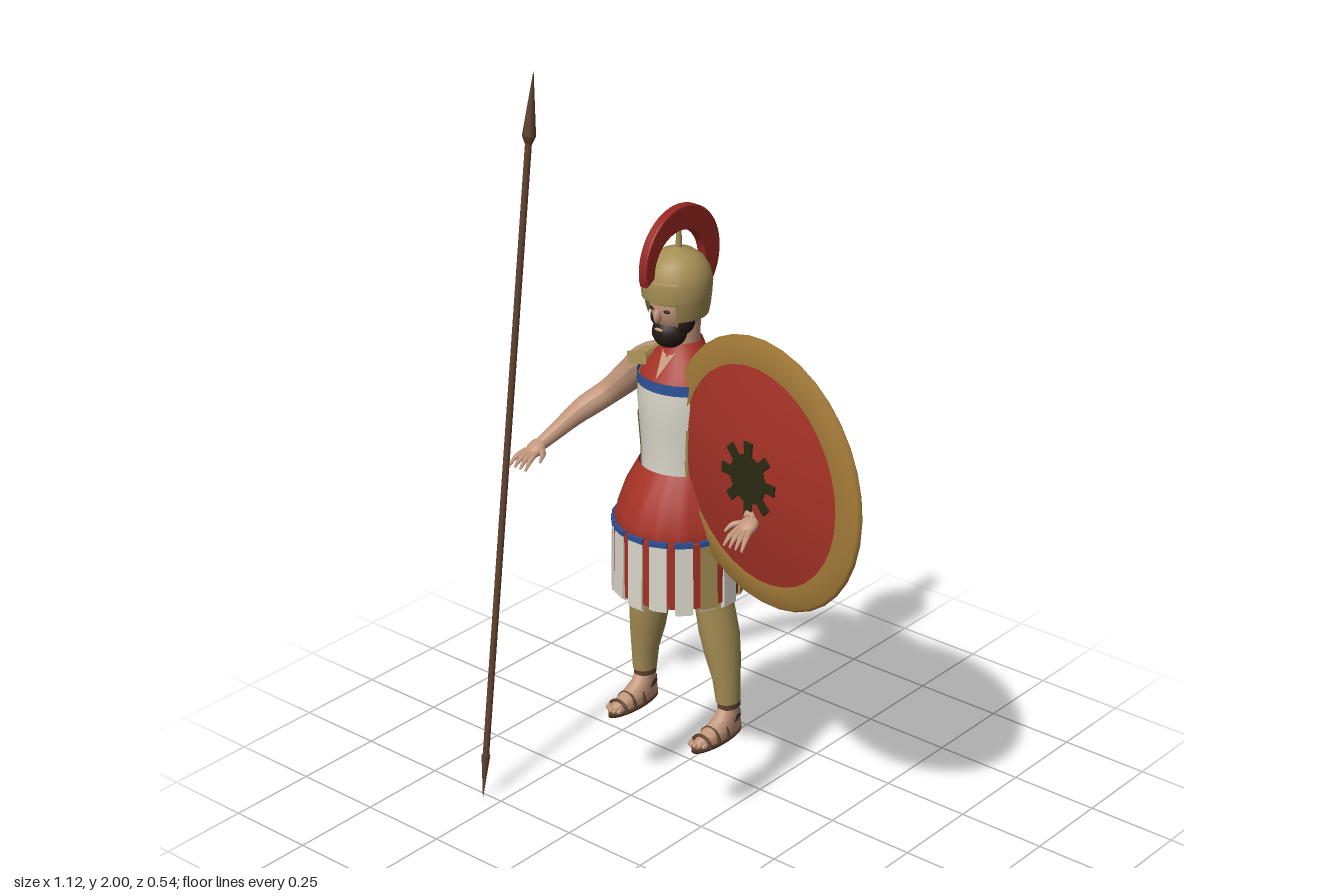
import * as THREE from 'three';

const D = Math.PI / 180;
const mat = (name, color) => {
  const m = new THREE.MeshStandardMaterial({ color, side: THREE.DoubleSide });
  m.name = name;
  return m;
};

export function createModel() {
  const red = mat('red cloth', 0xa63226), crestRed = mat('crest red', 0x96261f);
  const gold = mat('dull gold', 0xa68f55), bronze = mat('rim bronze', 0xa37a38);
  const white = mat('off white', 0xd8d4c8), blue = mat('blue trim', 0x2b5096);
  const skin = mat('skin', 0xc0957a), dark = mat('dark hair', 0x231a14);
  const brown = mat('brown', 0x5e402c), olive = mat('emblem olive', 0x2b2a12);

  const model = new THREE.Group();
  model.name = 'warrior';
  const body = new THREE.Group();
  body.name = 'body';
  body.position.set(-0.155, 0, -0.092);
  model.add(body);

  const add = (name, geo, material, parent = body, p = [0, 0, 0], r = [0, 0, 0]) => {
    const m = new THREE.Mesh(geo, material);
    m.name = name;
    m.position.set(...p);
    m.rotation.set(...r);
    parent.add(m);
    return m;
  };
  const ball = (name, material, p, s, parent = body) => {
    const m = add(name, new THREE.SphereGeometry(1, 16, 12), material, parent, p);
    m.scale.set(...s);
    return m;
  };

  // Skin over rising elliptical rings [y, cx, cz, rx, rz]; angle 0 faces front
  const stack = (rings, { grow = 0, from = 0, to = 360, sides = 28 } = {}) => {
    const full = to - from >= 360, n = full ? sides : sides + 1;
    const pos = [], idx = [];
    for (const [y, cx, cz, rx, rz] of rings)
      for (let j = 0; j < n; j++) {
        const a = (from + (to - from) * j / sides) * D;
        pos.push(cx + (rx + grow) * Math.sin(a), y, cz + (rz + grow) * Math.cos(a));
      }
    for (let i = 0; i < rings.length - 1; i++)
      for (let j = 0; j < sides; j++) {
        const k = (j + 1) % n, a = i * n + j, b = i * n + k;
        idx.push(a, b, b + n, a, b + n, a + n);
      }
    const g = new THREE.BufferGeometry();
    g.setAttribute('position', new THREE.Float32BufferAttribute(pos, 3));
    g.setIndex(idx);
    g.computeVertexNormals();
    return g;
  };

  // Tube along points whose radius follows a list
  const limb = (pts, radii, sides = 14) => {
    const curve = new THREE.CatmullRomCurve3(pts.map(p => new THREE.Vector3(...p)));
    const seg = 24, g = new THREE.TubeGeometry(curve, seg, 1, sides, false);
    const pos = g.attributes.position, v = new THREE.Vector3();
    for (let i = 0; i < pos.count; i++) {
      const t = Math.floor(i / (sides + 1)) / seg, f = t * (radii.length - 1);
      const k = Math.min(Math.floor(f), radii.length - 2);
      const c = curve.getPointAt(t);
      v.fromBufferAttribute(pos, i).sub(c).multiplyScalar(THREE.MathUtils.lerp(radii[k], radii[k + 1], f - k)).add(c);
      pos.setXYZ(i, v.x, v.y, v.z);
    }
    g.computeVertexNormals();
    return g;
  };

  // Cuirass, trim and tunic yoke
  const chest = [[0.99, 0, -0.012, 0.106, 0.1], [1.04, 0, -0.012, 0.106, 0.098], [1.12, 0, -0.01, 0.112, 0.1],
    [1.19, 0, -0.01, 0.117, 0.104], [1.25, 0, -0.012, 0.114, 0.1]];
  add('cuirass', stack(chest), white);
  add('chestTrim', stack([[1.228, 0, -0.012, 0.115, 0.102], [1.256, 0, -0.012, 0.114, 0.1]], { grow: 0.004 }), blue);
  for (const s of [1, -1])
    add('sidePanel', stack([...chest.slice(0, 3), [1.135, 0, -0.01, 0.113, 0.101]],
      { grow: 0.003, from: s * 92 - 48, to: s * 92 + 48, sides: 12 }), gold);
  add('tunicYoke', stack([[1.245, 0, -0.012, 0.113, 0.1], [1.285, 0, -0.016, 0.092, 0.082],
    [1.315, 0, -0.02, 0.062, 0.062], [1.345, 0, -0.022, 0.048, 0.05]]), red);
  const vee = new THREE.Shape([[-0.022, 0.085], [0, 0], [0.022, 0.085]].map(p => new THREE.Vector2(...p)));
  add('neckOpening', new THREE.ShapeGeometry(vee), skin, body, [0, 1.262, 0.088], [-0.72, 0, 0]);
  add('neck', stack([[1.29, 0, -0.02, 0.046, 0.048], [1.35, 0, -0.02, 0.042, 0.046], [1.45, 0, -0.02, 0.048, 0.052]]), skin);

  // Tunic skirt with soft pleats, and the hanging strips
  const skirt = stack([[0.68, 0, 0, 0.152, 0.152], [0.84, 0, 0, 0.162, 0.164], [0.87, 0, 0, 0.163, 0.165],
    [0.94, 0, -0.004, 0.142, 0.142], [1.005, 0, -0.012, 0.113, 0.107]], { sides: 64 });
  const sp = skirt.attributes.position;
  for (let i = 0; i < sp.count; i++) {
    const a = Math.atan2(sp.getX(i), sp.getZ(i)), k = 1 + 0.02 * Math.cos(16 * a) * Math.min(1, (1.005 - sp.getY(i)) * 8);
    sp.setXYZ(i, sp.getX(i) * k, sp.getY(i), sp.getZ(i) * k);
  }
  skirt.computeVertexNormals();
  add('tunicSkirt', skirt, red);
  const strips = 16;
  for (let i = 0; i < strips; i++) {
    const holder = new THREE.Group();
    holder.name = 'skirtStrip';
    holder.rotation.y = i / strips * Math.PI * 2;
    body.add(holder);
    const side = [3, 5, 11, 13].includes(i);
    const low = i % 2 ? 0.008 : 0;
    add('strip', new THREE.BoxGeometry(0.047, 0.2 - low, 0.009), side ? gold : white, holder, [0, 0.745 + low / 2, 0.17], [-0.02, 0, 0]);
    add('stripTrim', new THREE.BoxGeometry(0.049, 0.014, 0.011), blue, holder, [0, 0.842, 0.1695]);
    add('stripFringe', new THREE.BoxGeometry(0.04, 0.02, 0.006), white, holder, [0, 0.647 + low, 0.164]);
    const gap = new THREE.Group();
    gap.name = 'gapStrip';
    gap.rotation.y = (i + 0.5) / strips * Math.PI * 2;
    body.add(gap);
    add('redStrip', new THREE.BoxGeometry(0.034, 0.185, 0.008), red, gap, [0, 0.75, 0.167]);
  }

  // Legs, greaves and sandals
  for (const s of [1, -1]) {
    const leg = new THREE.Group();
    leg.name = s > 0 ? 'leftLeg' : 'rightLeg';
    body.add(leg);
    const mir = rings => rings.map(([y, x, ...r]) => [y, x * s, ...r]);
    const shin = [[0.335, 0.146, -0.03, 0.026, 0.031], [0.4, 0.142, -0.028, 0.031, 0.036], [0.47, 0.131, -0.026, 0.042, 0.046],
      [0.54, 0.121, -0.023, 0.048, 0.053], [0.6, 0.113, -0.018, 0.047, 0.052], [0.655, 0.105, -0.012, 0.048, 0.052]];
    add('leg', stack(mir([[0.28, 0.147, -0.034, 0.025, 0.031], ...shin, [0.74, 0.085, -0.008, 0.062, 0.07], [0.86, 0.07, -0.005, 0.068, 0.08]])), skin, leg);
    add('greave', stack(mir(shin), { grow: 0.005, from: -118, to: 118 }), gold, leg);
    const foot = [[0.245, 0.147, 0.018, 0.029, 0.094], [0.262, 0.147, 0.014, 0.03, 0.09], [0.28, 0.147, -0.006, 0.027, 0.064],
      [0.298, 0.147, -0.024, 0.025, 0.042], [0.325, 0.147, -0.032, 0.024, 0.03]];
    add('foot', stack(mir([...foot.slice(0, 2), [0.27, 0.147, 0.006, 0.029, 0.08], ...foot.slice(2)])), skin, leg);
    add('sole', stack(mir([[0.235, 0.147, 0.019, 0.001, 0.001], [0.2355, 0.147, 0.019, 0.031, 0.097],
      [0.248, 0.147, 0.019, 0.031, 0.097], [0.2485, 0.147, 0.019, 0.001, 0.001]])), brown, leg);
    add('ankleStrap', stack(mir([[0.318, 0.147, -0.032, 0.026, 0.032], [0.334, 0.147, -0.031, 0.027, 0.032]]), { grow: 0.002 }), brown, leg);
    add('heelStrap', stack(mir(foot.slice(2, 4)), { grow: 0.003, from: 100, to: 260 }), brown, leg);
    for (const [z, h] of [[0.008, 0.292], [0.045, 0.282], [0.08, 0.272]]) {
      const arch = new THREE.EllipseCurve(0, 0.245, 0.031, h - 0.245, 0, Math.PI).getPoints(10);
      const path = new THREE.CatmullRomCurve3(arch.map(p => new THREE.Vector3(s * 0.147 + p.x, p.y, z)));
      add('footStrap', new THREE.TubeGeometry(path, 12, 0.005, 6), brown, leg);
    }
    for (let i = 0; i < 5; i++)
      ball('toe', skin, [s * (0.125 + i * 0.011), 0.255, 0.108 - Math.abs(i - 1.5) * 0.006], [0.0065, 0.008, 0.012], leg);
  }

  // Arms with spread fingers, and shoulder guards
  for (const s of [1, -1]) {
    const arm = new THREE.Group();
    arm.name = s > 0 ? 'leftArm' : 'rightArm';
    body.add(arm);
    const mir = pts => pts.map(([x, y, z]) => [x * s, y, z]);
    add('armSkin', limb(mir([[0.075, 1.262, -0.03], [0.13, 1.24, -0.038], [0.19, 1.185, -0.038], [0.25, 1.125, -0.02],
      [0.3, 1.075, 0.04], [0.335, 1.025, 0.1], [0.352, 0.998, 0.138]]), [0.046, 0.047, 0.041, 0.034, 0.032, 0.024, 0.018]), skin, arm);
    ball('shoulder', skin, [s * 0.1, 1.253, -0.034], [0.045, 0.045, 0.047], arm);
    const palm = ball('palm', skin, [s * 0.358, 0.988, 0.155], [0.026, 0.017, 0.032], arm);
    palm.rotation.x = 0.5;
    for (let i = 0; i < 4; i++)
      add('finger', limb(mir([[0.343 + i * 0.011, 0.984, 0.172], [0.338 + i * 0.016, 0.972, 0.2], [0.335 + i * 0.019, 0.952, 0.222]]),
        [0.008, 0.007, 0.003], 8), skin, arm);
    add('thumb', limb(mir([[0.342, 0.99, 0.15], [0.32, 0.985, 0.17], [0.312, 0.972, 0.19]]), [0.009, 0.008, 0.003], 8), skin, arm);
    add('shoulderGuard', new THREE.BoxGeometry(0.066, 0.012, 0.085), gold, arm, [s * 0.098, 1.291, -0.005], [0.1, 0, -s * 0.38]);
    add('guardFlap', new THREE.BoxGeometry(0.062, 0.032, 0.01), gold, arm, [s * 0.099, 1.28, 0.042], [-0.2, 0, -s * 0.2]);
  }

  // Head, face and beard
  ball('head', skin, [0, 1.45, 0.002], [0.064, 0.085, 0.076]);
  ball('beard', dark, [0, 1.378, 0.032], [0.046, 0.043, 0.045]);
  ball('mouth', skin, [0, 1.394, 0.074], [0.014, 0.004, 0.005]);
  ball('nose', skin, [0, 1.432, 0.078], [0.009, 0.02, 0.014]);
  for (const s of [1, -1]) {
    ball('eye', dark, [s * 0.023, 1.447, 0.07], [0.01, 0.005, 0.006]);
    ball('sideBeard', dark, [s * 0.046, 1.41, 0.02], [0.016, 0.03, 0.028]);
  }

  // Helmet: open-faced lower shell, dome, brow plate
  add('helmetShell', stack([[1.42, 0, -0.004, 0.074, 0.08], [1.445, 0, -0.002, 0.08, 0.086], [1.475, 0, 0, 0.085, 0.09]],
    { from: 38, to: 322 }), gold);
  add('helmetDome', stack([[1.475, 0, 0, 0.085, 0.09], [1.51, 0, 0, 0.088, 0.092], [1.54, 0, 0, 0.082, 0.086],
    [1.566, 0, 0, 0.066, 0.07], [1.585, 0, 0, 0.042, 0.045], [1.597, 0, 0, 0.001, 0.001]]), gold);
  add('browPlate', stack([[1.468, 0, 0, 0.084, 0.089], [1.472, 0, 0, 0.09, 0.095], [1.522, 0, 0, 0.091, 0.096], [1.527, 0, 0, 0.085, 0.089]],
    { from: -42, to: 42, sides: 12 }), gold);

  // Crest: a crescent standing over the dome
  const crest = new THREE.Shape();
  crest.absarc(-0.008, 1.56, 0.14, -12 * D, 218 * D, false);
  crest.absarc(0.005, 1.545, 0.1, 205 * D, 0, true);
  add('crest', new THREE.ExtrudeGeometry(crest, { depth: 0.018, curveSegments: 28, bevelSize: 0.004, bevelThickness: 0.004, bevelSegments: 2 }),
    crestRed, body, [0.009, 0, 0], [0, -Math.PI / 2, 0]);
  add('crestStem', new THREE.CylinderGeometry(0.006, 0.009, 0.07, 8), gold, body, [0, 1.62, -0.005]);

  // Shield: domed face, bronze rim, emblem through both faces
  const shield = new THREE.Group();
  shield.name = 'shield';
  shield.position.set(0.2, 1.105, -0.005);
  shield.rotation.y = -0.18;
  model.add(shield);
  const dome = r => 0.05 * (1 - (r / 0.36) ** 2);
  const face = [0, 0.06, 0.12, 0.18, 0.24, 0.295].map(r => new THREE.Vector2(r, dome(r)));
  add('shieldFace', new THREE.LatheGeometry(face.reverse(), 36), red, shield, [0, 0, 0], [Math.PI / 2, 0, 0]);
  const rim = [[0.29, 0.008], [0.352, -0.008], [0.36, 0], [0.352, 0.01], [0.29, 0.024], [0.29, 0.008]].map(p => new THREE.Vector2(...p));
  add('shieldRim', new THREE.LatheGeometry(rim, 36), bronze, shield, [0, 0, 0], [Math.PI / 2, 0, 0]);
  const star = new THREE.Shape();
  for (let i = 0; i < 8; i++)
    for (const [r, o] of [[0.066, -0.2], [0.1, -0.14], [0.1, 0.14], [0.066, 0.2]]) {
      const a = i * Math.PI / 4 + o, x = r * Math.cos(a), y = r * Math.sin(a);
      i || o !== -0.2 ? star.lineTo(x, y) : star.moveTo(x, y);
    }
  add('shieldEmblem', new THREE.ExtrudeGeometry(star, { depth: 0.0095, bevelEnabled: false }), olive, shield, [-0.005, 0, 0.043]);

  // Spear, leaning back
  const spear = new THREE.Group();
  spear.name = 'spear';
  spear.position.set(-0.547, 1, 0.136);
  spear.rotation.x = -0.135;
  model.add(spear);
  add('shaft', new THREE.CylinderGeometry(0.009, 0.009, 1.76, 10), brown, spear, [0, -0.02, 0]);
  add('spearHead', new THREE.ConeGeometry(0.018, 0.17, 8), brown, spear, [0, 0.923, 0]);
  add('headSocket', new THREE.CylinderGeometry(0.018, 0.01, 0.02, 8), brown, spear, [0, 0.828, 0]);
  add('buttSpike', new THREE.ConeGeometry(0.012, 0.13, 8), brown, spear, [0, -0.943, 0], [Math.PI, 0, 0]);

  return model;
}
